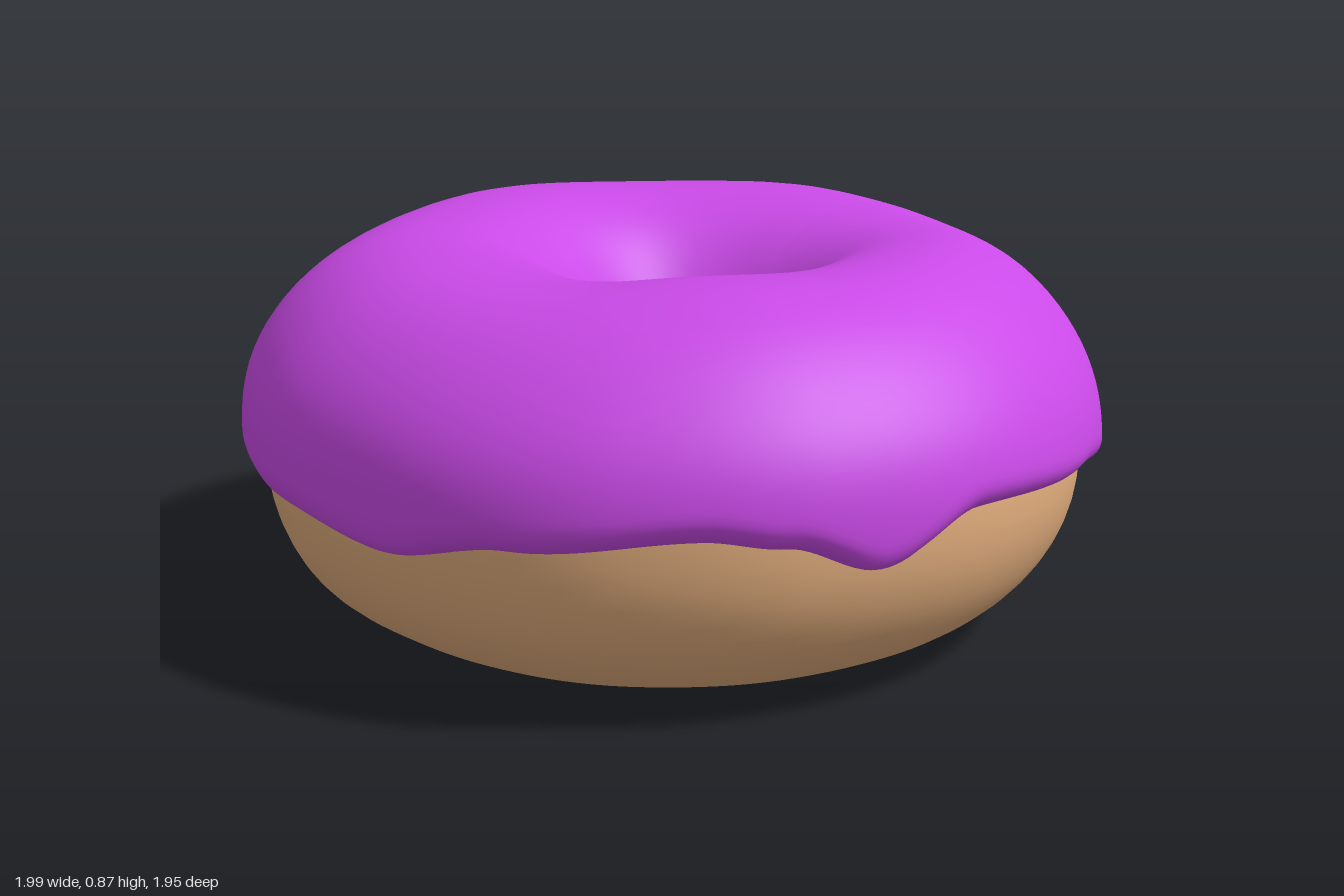
import * as THREE from 'three';

const RAD = Math.PI / 180;
const EQUATOR = 0.38; // height of the widest part of the dough
const POWER = 0.9; // squareness of the cross-section

// Icing rim radius and icing edge height around the ring: [degrees from +x towards +z, value]
const RIM = [[-150, 0.985], [-120, 0.975], [-90, 0.98], [-65, 0.995], [-47, 1.01], [-30, 1.01], [0, 0.998],
  [30, 0.995], [60, 0.985], [85, 0.973], [125, 0.953], [150, 0.972], [180, 0.996]];
const EDGE = [[-150, 0.37], [-120, 0.35], [-90, 0.32], [-72, 0.36], [-58, 0.41], [-36, 0.385], [-12, 0.34],
  [12, 0.41], [38, 0.44], [53, 0.355], [65, 0.42], [75, 0.44], [100, 0.4], [120, 0.34], [140, 0.36], [180, 0.365]];

// Angle in degrees between -180 and 180
const degrees = (theta) => ((((theta / RAD + 180) % 360) + 360) % 360) - 180;

// Bell curve with a given centre and width
const bell = (x, centre, width) => Math.exp(-Math.pow((x - centre) / width, 2));

// Smooth periodic lookup in one of the tables
function lookup(table, theta) {
  const deg = degrees(theta);
  const last = table[table.length - 1];
  let a = [last[0] - 360, last[1]];
  for (const b of [...table, [table[0][0] + 360, table[0][1]]]) {
    if (deg <= b[0]) {
      const k = (deg - a[0]) / (b[0] - a[0]);
      return a[1] + (b[1] - a[1]) * k * k * (3 - 2 * k);
    }
    a = b;
  }
  return last[1];
}

// Strength of the big drip at one angle, flat-topped with soft sides
const drip = (theta) => Math.exp(-Math.pow(Math.abs(degrees(theta) + 47) / 7, 6));

// Cross-section measures of the dough at one angle
function section(theta) {
  const outer = lookup(RIM, theta) - 0.052;
  const inner = 0.185 + 0.037 * Math.cos(theta) - 0.075 * Math.sin(theta);
  return {
    mid: (outer + inner) / 2,
    half: (outer - inner) / 2,
    top: 0.814 + 0.013 * Math.cos(2 * (theta - 0.8)) + 0.005 * Math.cos(5 * theta),
    bottom: 0.018 - 0.014 * Math.cos(theta - 125 * RAD),
    shoulder: 0.95 + 0.06 * Math.cos(theta + 20 * RAD), // softer on one side
    base: 0.94 + 0.05 * Math.cos(theta + 20 * RAD),
  };
}

const bend = (v, power) => Math.sign(v) * Math.pow(Math.abs(v), power);

// Point (radius, height) on the dough; phi runs from the outer rim over the top to the hole
function doughPoint(s, phi) {
  const sin = Math.sin(phi), cos = Math.cos(phi);
  const height = sin > 0 ? s.top - EQUATOR : EQUATOR - s.bottom;
  const power = cos < 0 ? POWER : sin > 0 ? s.shoulder : s.base;
  return [s.mid + s.half * bend(cos, power), EQUATOR + height * bend(sin, power)];
}

// Point lifted off the dough along its normal
function liftedPoint(s, phi, lift) {
  const p = doughPoint(s, phi);
  const a = doughPoint(s, phi - 0.06);
  const b = doughPoint(s, phi + 0.06);
  const dr = b[0] - a[0], dy = b[1] - a[1], len = Math.hypot(dr, dy);
  return [p[0] + (dy / len) * lift, p[1] - (dr / len) * lift];
}

// Sweep a varying cross-section around the ring
function ring(name, color, around, rows, closed, profileAt) {
  const positions = [], index = [];
  for (let i = 0; i < around; i++) {
    const theta = (i / around) * Math.PI * 2;
    const profile = profileAt(theta);
    for (let j = 0; j < rows; j++) {
      const [r, y] = profile(j);
      positions.push(r * Math.cos(theta), y, r * Math.sin(theta));
    }
    const next = ((i + 1) % around) * rows;
    for (let j = 0; j < (closed ? rows : rows - 1); j++) {
      const k = (j + 1) % rows;
      const a = i * rows + j, b = i * rows + k, c = next + k, d = next + j;
      index.push(a, b, d, b, c, d);
    }
  }
  const geometry = new THREE.BufferGeometry();
  geometry.setAttribute('position', new THREE.Float32BufferAttribute(positions, 3));
  geometry.setIndex(index);
  geometry.computeVertexNormals();
  const mesh = new THREE.Mesh(geometry, new THREE.MeshStandardMaterial({ color, side: THREE.DoubleSide }));
  mesh.name = name;
  return mesh;
}

export function createModel() {
  const group = new THREE.Group();
  group.name = 'donut';

  // Dough: a plump ring with a slightly off-centre hole
  group.add(ring('dough', 0xe0ac7c, 120, 56, true, (theta) => {
    const s = section(theta);
    return (j) => doughPoint(s, (j / 56) * Math.PI * 2);
  }));

  // Icing: a shell over the dough with a rounded, dripping edge
  const rows = 60, lip = 0.05;
  group.add(ring('icing', 0xca4ae8, 360, rows, false, (theta) => {
    const s = section(theta);
    const angleAt = (y, power) => {
      const v = (y - EQUATOR) / (y > EQUATOR ? s.top - EQUATOR : EQUATOR - s.bottom);
      return Math.asin(bend(v, 1 / power));
    };
    const edge = lookup(EDGE, theta) - 0.21 * drip(theta);
    const start = angleAt(edge, edge > EQUATOR ? s.shoulder : s.base);
    const end = Math.PI - angleAt(0.43 + 0.015 * Math.sin(3 * theta), POWER);
    const front = 0.5 + 0.5 * Math.sin(theta);
    const corner = bell(degrees(theta), -50, 11);
    const hump = bell(degrees(theta), -72, 24);
    return (j) => {
      const t = 0.5 - 0.5 * Math.cos((Math.PI * j) / (rows - 1));
      const phi = start + (end - start) * t;
      const fromEdge = Math.min(t, 1 - t) * (end - start) * 0.4;
      const k = 1 - Math.min(fromEdge / lip, 1);
      // Fuller above the rim, inside the hole, along the drip and on the back shoulder
      const thickness = 0.054
        + 0.02 * front * bell(phi, 0.35, 0.35)
        + 0.018 * bell(phi, 2.9, 0.35)
        + 0.045 * corner * bell(phi, 0, 0.6)
        + 0.02 * hump * bell(phi, 1.05, 0.35);
      return liftedPoint(s, phi, -0.008 + thickness * Math.sqrt(1 - k * k));
    };
  }));

  return group;
}
